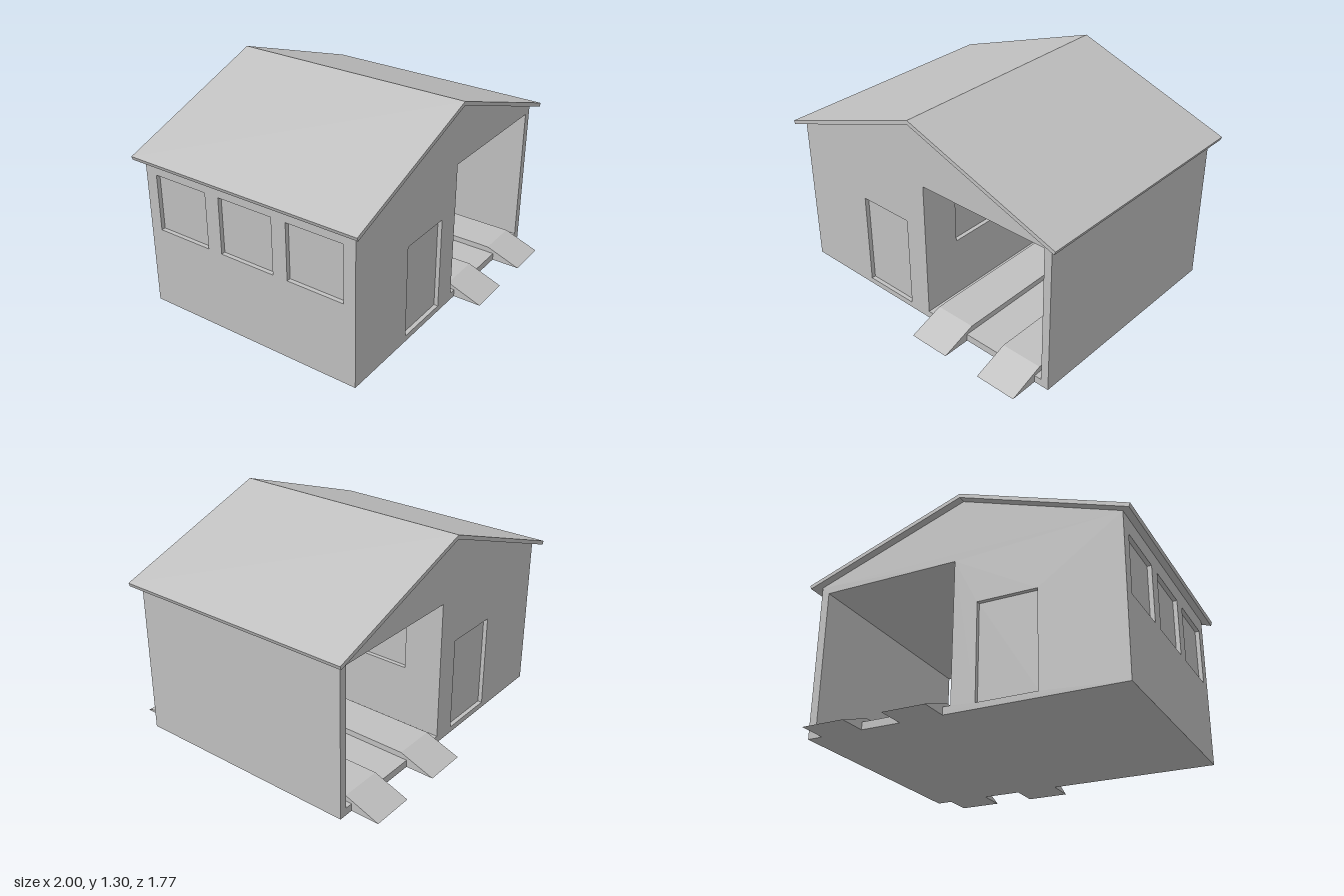
import * as THREE from 'three';

const GREY = new THREE.MeshStandardMaterial({ color: 0xc0c0c0 });
GREY.name = 'plain grey';

const WALL_X = 0.943, WALL_Z = 0.71, RECESS = 0.03, PLATE = 0.004;
const SLOPE = 0.35 / 0.995, RIDGE = 1.28;
const roofY = x => RIDGE - Math.abs(x) * SLOPE;

// [x0, y0, x1, y1] rectangles
const BAY = [0.045, 0.045, 0.895, 0.9];
const DOOR = [-0.455, 0.036, -0.1, 0.615];
const SIDE_WINDOWS = [-0.455, 0, 0.455].map(c => [c - 0.18, 0.5, c + 0.18, 0.85]);
const BAY_WINDOW = [-0.47, 0.42, 0.47, 0.765];

const corners = ([x0, y0, x1, y1]) => [[x0, y0], [x1, y0], [x1, y1], [x0, y1]];
const points = list => list.map(p => new THREE.Vector2(...p));

// Extrudes an outline with rectangular holes along +z, starting at z0
function slab(outline, holes, depth, z0) {
  const shape = new THREE.Shape(points(outline));
  for (const h of holes) shape.holes.push(new THREE.Path(points(corners(h).reverse())));
  return new THREE.ExtrudeGeometry(shape, { depth, bevelEnabled: false }).translate(0, 0, z0);
}

// Turns a slab so that its depth runs along +x
const sideways = (geometry, x) => geometry.rotateY(Math.PI / 2).translate(x, 0, 0);

// House outline under the roof, from x0 to x1
const gable = (x0, x1) => [[x0, 0], [x1, 0], [x1, roofY(x1)], [0, RIDGE], [x0, roofY(x0)]];

export function createModel() {
  const model = new THREE.Group();
  model.name = 'driveThroughGarage';
  const add = (name, geometry) => {
    const mesh = new THREE.Mesh(geometry, GREY);
    mesh.name = name;
    model.add(mesh);
  };
  const innerZ = WALL_Z - RECESS;

  // Body with the drive-through bay
  const coreBay = [BAY[0] - RECESS, BAY[1], BAY[2], BAY[3]];
  add('body', slab(gable(-WALL_X + RECESS, WALL_X), [coreBay], 2 * innerZ, -innerZ));

  // Gable walls, each with a recessed door
  for (const [side, z] of [['front', innerZ], ['back', -WALL_Z]]) {
    add(side + 'Wall', slab(gable(-WALL_X, WALL_X), [BAY, DOOR], RECESS, z));
    add(side + 'Door', slab(corners(DOOR), [], PLATE, side === 'front' ? innerZ : -innerZ - PLATE));
  }

  // Window wall and the partition beside the bay
  const eave = roofY(WALL_X);
  add('windowWall', sideways(
    slab(corners([-innerZ, 0, innerZ, eave]), SIDE_WINDOWS, RECESS, 0), -WALL_X));
  for (const w of SIDE_WINDOWS)
    add('windowPane', sideways(slab(corners(w), [], PLATE, 0), -WALL_X + RECESS - PLATE));
  add('partition', sideways(
    slab(corners([-innerZ, BAY[1], innerZ, BAY[3]]), [BAY_WINDOW], RECESS, 0), BAY[0] - RECESS));
  add('partitionPane', sideways(slab(corners(BAY_WINDOW), [], PLATE, 0), BAY[0] - RECESS));

  // Roof sheet with a ridge, edges cut square to the slope
  add('roof', slab([
    [0, RIDGE], [0.992, roofY(0.992)], [1, 0.953], [0, 1.305], [-1, 0.953], [-0.992, roofY(0.992)],
  ], [], 1.514, -0.757));

  // Wheel tracks through the bay, with a ramp at each end
  const track = [[-0.885, 0], [0.885, 0], [0.67, 0.08], [-0.67, 0.08]];
  for (const x of [0.09, 0.59])
    add('wheelTrack', sideways(slab(track, [], 0.26, 0), x));

  return model;
}
